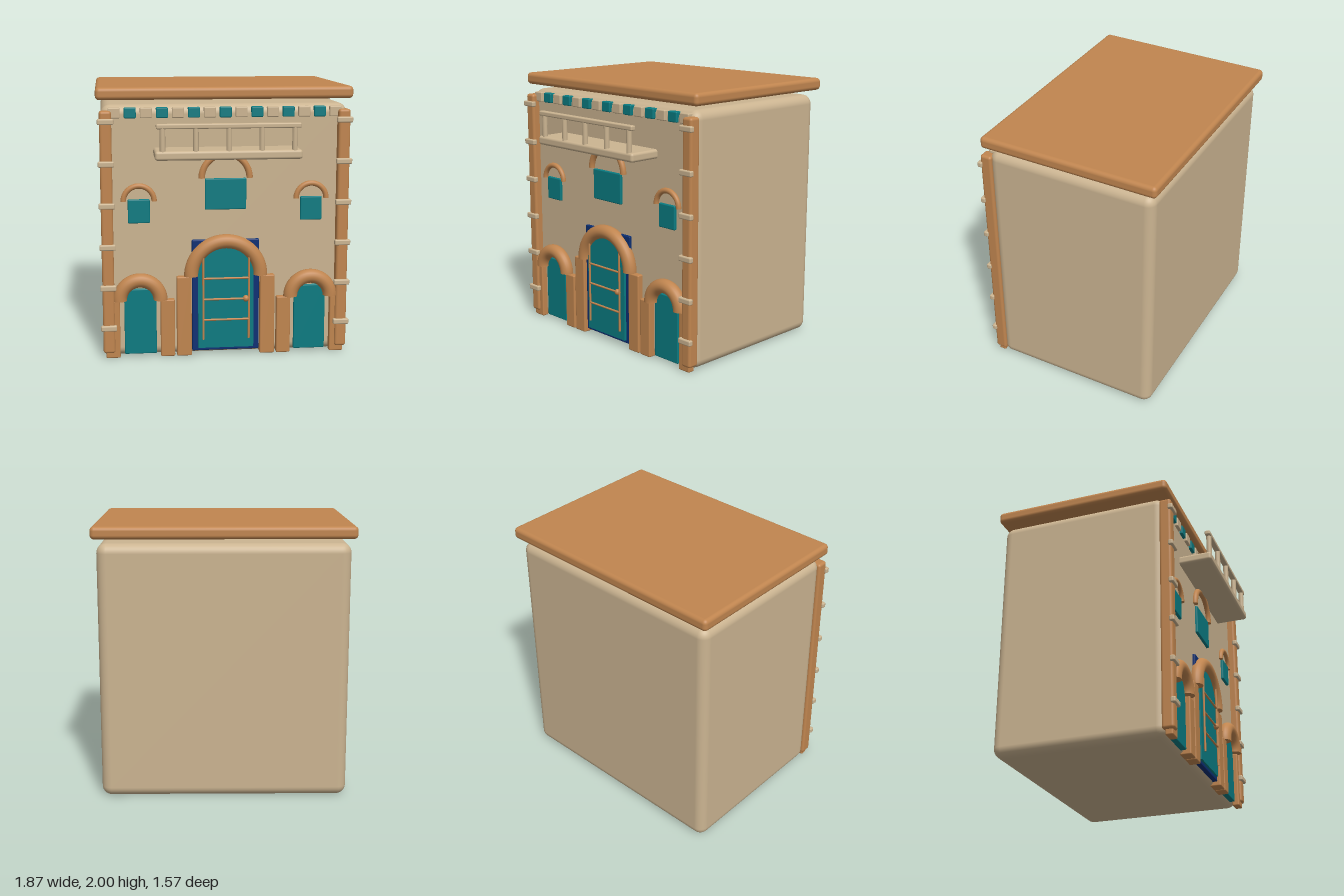
import * as THREE from 'three';
import { RoundedBoxGeometry } from 'three/addons/geometries/RoundedBoxGeometry.js';

const mat = (name, color) => {
  const m = new THREE.MeshStandardMaterial({ color });
  m.name = name;
  return m;
};

export function createModel() {
  const model = new THREE.Group();
  model.name = 'building';
  const sand = mat('sand', 0xcbb491);
  const clay = mat('clay', 0xc0854f);
  const teal = mat('teal', 0x0a7b81);
  const navy = mat('navy', 0x0c2f73);

  const add = (name, geometry, material, x = 0, y = 0, z = 0) => {
    const mesh = new THREE.Mesh(geometry, material);
    mesh.name = name;
    mesh.position.set(x, y, z);
    model.add(mesh);
    return mesh;
  };
  // Rounded block given by its limits on each axis
  const block = (name, material, [x0, x1], [y0, y1], [z0, z1], r = 0.01) =>
    add(name, new RoundedBoxGeometry(x1 - x0, y1 - y0, z1 - z0, 4, r), material,
      (x0 + x1) / 2, (y0 + y1) / 2, (z0 + z1) / 2);
  const rod = (name, material, r, length, x, y, z, horizontal = false) => {
    const mesh = add(name, new THREE.CylinderGeometry(r, r, length, 16), material, x, y, z);
    if (horizontal) mesh.rotation.z = Math.PI / 2;
  };
  // Half-ring moulding with closed ends
  const arch = (name, inner, outer, x, y, z) => {
    const tube = (outer - inner) / 2, radius = (outer + inner) / 2;
    add(name, new THREE.TorusGeometry(radius, tube, 20, 40, Math.PI), clay, x, y, z);
    for (const s of [-1, 1]) {
      add(name + 'End', new THREE.CircleGeometry(tube, 20).rotateX(Math.PI / 2), clay, x + s * radius, y, z);
    }
  };

  // Main volume and roof slab
  block('walls', sand, [-0.9, 0.9], [0.005, 1.875], [-0.75, 0.54], 0.07);
  block('roof', clay, [-0.935, 0.935], [1.91, 2], [-0.785, 0.575], 0.03);

  // Row of small tiles under the roof
  for (let i = 0; i < 15; i++) {
    const x = (i - 7) * 0.115;
    block('friezeTile', i % 2 ? teal : sand, [x - 0.043, x + 0.043], [1.78, 1.855], [0.5, 0.563], 0.008);
  }

  for (const s of [-1, 1]) {
    const span = (a, b) => (s > 0 ? [a, b] : [-b, -a]);

    // Corner pillar with its bands
    block('cornerPillar', clay, span(0.823, 0.91), [0.045, 1.835], [0.51, 0.6], 0.02);
    for (let i = 0; i < 6; i++) {
      const y = 0.24 + i * 0.304;
      block('pillarBand', sand, span(0.808, 0.925), [y - 0.021, y + 0.021], [0.58, 0.617], 0.01);
    }

    // Side door
    block('sideDoor', teal, span(0.515, 0.752), [0.025, 0.52], [0.5, 0.56], 0.008);
    block('sideDoorPost', clay, span(0.38, 0.485), [0.005, 0.44], [0.5, 0.585]);
    block('sideDoorPost', clay, span(0.785, 0.89), [0.005, 0.44], [0.53, 0.585]);
    arch('sideDoorArch', 0.097, 0.202, s * 0.635, 0.44, 0.567);

    // Small upper window
    block('smallWindow', teal, span(0.555, 0.715), [1.015, 1.19], [0.5, 0.56], 0.008);
    arch('smallWindowArch', 0.092, 0.132, s * 0.635, 1.177, 0.55);

    // Main door post and upright bar
    block('mainDoorPost', clay, span(0.255, 0.365), [0.005, 0.61], [0.5, 0.585]);
    rod('doorUpright', clay, 0.008, 0.63, s * 0.17, 0.445, 0.595);
  }

  // Main door: backing panel, arched leaf, bars and knob
  block('mainDoorFrame', navy, [-0.25, 0.25], [0.035, 0.88], [0.5, 0.562], 0.008);
  const leaf = new THREE.Shape();
  leaf.moveTo(-0.207, 0.06);
  leaf.lineTo(0.207, 0.06);
  leaf.lineTo(0.207, 0.62);
  leaf.absarc(0, 0.62, 0.207, 0, Math.PI, false);
  leaf.closePath();
  add('mainDoor', new THREE.ExtrudeGeometry(leaf, { depth: 0.035, bevelEnabled: false, curveSegments: 24 }),
    teal, 0, 0, 0.545);
  arch('mainDoorArch', 0.205, 0.31, 0, 0.612, 0.567);
  for (const y of [0.28, 0.437, 0.595]) rod('doorCrossbar', clay, 0.008, 0.34, 0, y, 0.595, true);
  add('doorKnob', new THREE.SphereGeometry(0.024, 20, 14), clay, 0.148, 0.437, 0.592);

  // Central window
  block('centralWindow', teal, [-0.152, 0.152], [1.105, 1.335], [0.5, 0.56], 0.008);
  arch('centralWindowArch', 0.152, 0.2, 0, 1.338, 0.55);

  // Balcony
  block('balconyFloor', sand, [-0.525, 0.525], [1.5, 1.567], [0.52, 0.785], 0.02);
  for (let i = -2; i <= 2; i++) rod('baluster', sand, 0.02, 0.18, i * 0.235, 1.645, 0.759);
  block('balconyRail', sand, [-0.515, 0.515], [1.722, 1.758], [0.738, 0.78], 0.01);

  return model;
}
